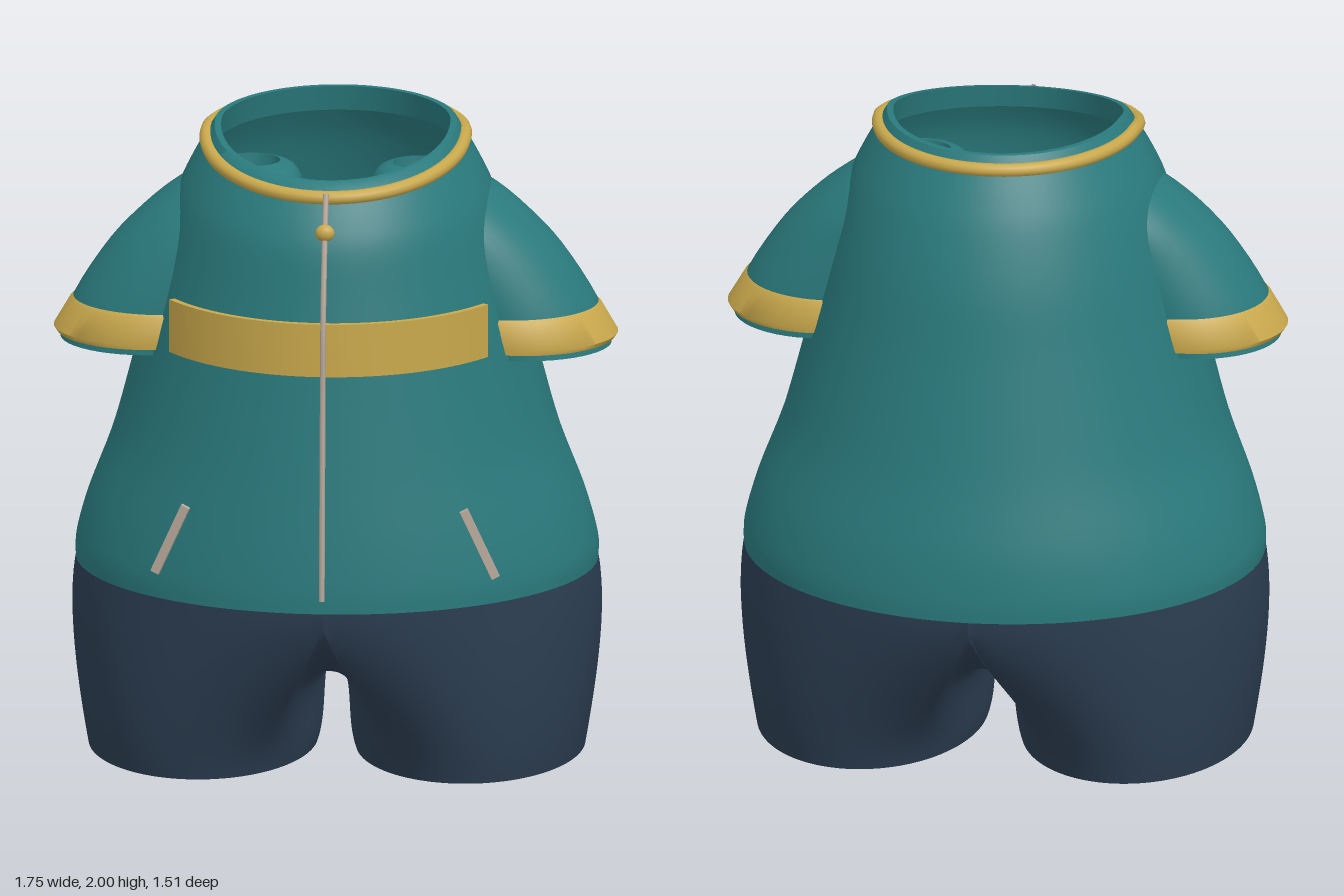
import * as THREE from 'three';
import { toCreasedNormals } from 'three/addons/utils/BufferGeometryUtils.js';

const V = (x, y, z) => new THREE.Vector3(x, y, z);
const mat = (name, color) => {
  const m = new THREE.MeshStandardMaterial({ color, side: THREE.DoubleSide });
  m.name = name;
  return m;
};

// Skin between closed rows of points (rows run upward, columns run from +x to +z)
function loft(rows, crease = 0.9) {
  const n = rows[0].length, index = [];
  for (let i = 0; i + 1 < rows.length; i++) {
    for (let j = 0; j < n; j++) {
      const k = (j + 1) % n, a = i * n + j, b = i * n + k, c = a + n, d = b + n;
      index.push(a, c, b, b, c, d);
    }
  }
  const g = new THREE.BufferGeometry().setFromPoints(rows.flat());
  g.setIndex(index);
  return toCreasedNormals(g, crease);
}

// Smooth extra rows between profile rows
function refine(p, steps = 4) {
  const out = [];
  for (let i = 0; i + 1 < p.length; i++) {
    const a = p[Math.max(i - 1, 0)], b = p[i], c = p[i + 1], d = p[Math.min(i + 2, p.length - 1)];
    for (let s = 0; s < steps; s++) {
      const t = s / steps;
      out.push(b.map((v, k) => v + 0.5 * t * (c[k] - a[k] + t * (2 * a[k] - 5 * v + 4 * c[k] - d[k]
        + t * (3 * (v - c[k]) + d[k] - a[k])))));
    }
  }
  out.push(p[p.length - 1]);
  return out;
}

// Ring in the xz plane given its extents
function ring(y, x0, x1, z0, z1, n) {
  return Array.from({ length: n }, (_, j) => {
    const a = (j / n) * Math.PI * 2;
    return V((x0 + x1) / 2 + (x1 - x0) / 2 * Math.cos(a), y, (z0 + z1) / 2 + (z1 - z0) / 2 * Math.sin(a));
  });
}

// Mirror rows to the other side, keeping the winding
const mirror = (rows, s) => s > 0 ? rows : rows.map(r => r.map(p => V(-p.x, p.y, p.z)).reverse());

// Body ring whose upper part dips toward the front of the neck
function bodyRing([y, rx, front, back]) {
  const r = ring(y, -rx, rx, back, front, 72);
  for (const p of r) {
    const drop = Math.max(0, p.z - 0.03) * 0.18;
    if (y > 1.4) p.y = 1.4 + (y - 1.4) * (0.56 - drop) / 0.56;
  }
  return r;
}

// One trouser leg: curves from the hem up to half the waist and the crotch line
function legRows() {
  const n = 96, steps = 20, zc = -0.016, rz = 0.736, top = 0.59, split = Math.PI * 2 / 3;
  const rows = Array.from({ length: steps + 1 }, () => []);
  const cuffIn = [], cuffUp = [];
  for (let j = 0; j < n; j++) {
    let a = (j / n) * Math.PI * 2;
    if (a > Math.PI) a -= Math.PI * 2;
    const ca = Math.cos(a), sa = Math.sin(a);
    const p0 = V(0.415 + 0.355 * ca, 0, -0.005 + 0.515 * sa);
    let p2, p3;
    if (Math.abs(a) <= split + 1e-6) {
      const f = (a / split) * Math.PI / 2;
      p3 = V(0.81 * Math.cos(f), top, zc + rz * Math.sin(f));
      p2 = V(p3.x * 1.035, top - 0.16, p3.z * 0.98);
    } else {
      const sg = Math.sign(a), t = (Math.PI - Math.abs(a)) / (Math.PI - split) * Math.PI / 2;
      const s = Math.sin(t), c = Math.cos(t), k = 0.5 * s * s;
      p3 = V(0, top - 0.32 * c, zc + sg * rz * s);
      p2 = V(c * (0.06 + 0.25 * s * s), p3.y - 0.32 * s * k, p3.z - sg * rz * c * k);
    }
    const p1 = V(p0.x + 0.035 * ca, p3.y * 0.34, p0.z + 0.06 * sa);
    const curve = new THREE.CubicBezierCurve3(p0, p1, p2, p3);
    for (let i = 0; i <= steps; i++) rows[i].push(curve.getPoint(i / steps));
    cuffIn.push(V(p0.x - 0.018 * ca, 0, p0.z - 0.018 * sa));
    cuffUp.push(V(p0.x - 0.018 * ca, 0.05, p0.z - 0.018 * sa));
  }
  return [cuffUp, cuffIn, ...rows];
}

export function createModel() {
  const model = new THREE.Group();
  const teal = mat('teal cloth', 0x2a7a7d), navy = mat('navy cloth', 0x2c3e52);
  const gold = mat('gold trim', 0xc9a84c), silver = mat('pale zip', 0xb8a99c);
  const add = (name, geo, m) => {
    const mesh = new THREE.Mesh(geo, m);
    mesh.name = name;
    model.add(mesh);
    return mesh;
  };

  // Jacket body: y, half width, front z, back z
  const body = refine([
    [0.59, 0.81, 0.72, -0.752], [0.66, 0.808, 0.72, -0.752], [0.8, 0.77, 0.71, -0.735],
    [1.0, 0.695, 0.69, -0.69], [1.2, 0.64, 0.67, -0.65], [1.4, 0.59, 0.65, -0.61],
    [1.6, 0.54, 0.625, -0.57], [1.78, 0.49, 0.6, -0.51], [1.88, 0.445, 0.565, -0.46],
    [1.96, 0.4, 0.52, -0.41]]);
  const lip = [[2.0, 0.375, 0.49, -0.38], [2.0, 0.355, 0.47, -0.36], [1.92, 0.37, 0.48, -0.375]];
  add('jacketBody', loft([...body, ...lip].map(bodyRing)), teal);

  // Neck piping
  const neck = new THREE.CatmullRomCurve3(bodyRing([1.96, 0.4, 0.52, -0.405]), true);
  add('collarPiping', new THREE.TubeGeometry(neck, 96, 0.022, 10, true), gold);

  // Sleeve: y, inner x, outer x, half depth, centre z
  const sleeve = [
    [1.36, 0.35, 0.82, 0.235, 0.043], [1.3, 0.34, 0.835, 0.24, 0.043],
    ...refine([
      [1.3, 0.32, 0.855, 0.255, 0.043], [1.43, 0.26, 0.815, 0.255, 0.043], [1.6, 0.16, 0.705, 0.25, 0.038],
      [1.71, 0.11, 0.6, 0.24, 0.03], [1.79, 0.105, 0.5, 0.2, 0.02], [1.84, 0.13, 0.41, 0.145, 0.02],
      [1.86, 0.175, 0.34, 0.08, 0.02]]),
    [1.8, 0.18, 0.34, 0.075, 0.02]];
  const cuff = [
    [1.43, 0.27, 0.8, 0.25, 0.045], [1.335, 0.31, 0.845, 0.25, 0.045], [1.32, 0.305, 0.865, 0.265, 0.045],
    [1.335, 0.3, 0.876, 0.267, 0.045], [1.42, 0.25, 0.826, 0.264, 0.045], [1.43, 0.26, 0.815, 0.255, 0.045]];
  const rings = p => p.map(([y, a, b, d, z]) => ring(y, a, b, z - d, z + d, 48));

  for (const s of [1, -1]) {
    const side = s > 0 ? 'left' : 'right';
    add(side + 'Sleeve', loft(mirror(rings(sleeve), s)), teal);
    add(side + 'Cuff', loft(mirror(rings(cuff), s)), gold);
    add(side + 'TrouserLeg', loft(mirror(legRows(), s)), navy);
    // Slanted pocket zip
    const zip = add(side + 'PocketZip', new THREE.BoxGeometry(0.028, 0.24, 0.016), silver);
    zip.rotation.set(0, s * 0.25, s * 0.43, 'YXZ');
    zip.position.set(s * 0.48, 0.79, 0.592);
  }

  // Curved chest band
  const arc = new THREE.Shape();
  const end = Math.acos(0.495 / 0.615);
  arc.absellipse(0, 0, 0.615, 0.69, end, Math.PI - end, false);
  arc.absellipse(0, 0, 0.595, 0.67, Math.PI - end, end, true);
  const band = new THREE.ExtrudeGeometry(arc, { depth: 0.168, bevelEnabled: false, curveSegments: 24 });
  band.rotateX(Math.PI / 2).translate(0, 1.51, 0);
  add('chestBand', toCreasedNormals(band, 0.6), gold);

  // Front zip and its pull
  const zipPath = new THREE.CatmullRomCurve3([
    V(0, 1.89, 0.545), V(0, 1.8, 0.59), V(0, 1.7, 0.63), V(0, 1.5, 0.688),
    V(0, 1.3, 0.702), V(0, 1.0, 0.728), V(0, 0.64, 0.753)]);
  add('frontZip', new THREE.TubeGeometry(zipPath, 40, 0.009, 6), silver);
  const pull = add('zipPull', new THREE.SphereGeometry(0.03, 20, 14), gold);
  pull.scale.set(1, 0.9, 0.75);
  pull.position.set(0, 1.78, 0.6);

  return model;
}
